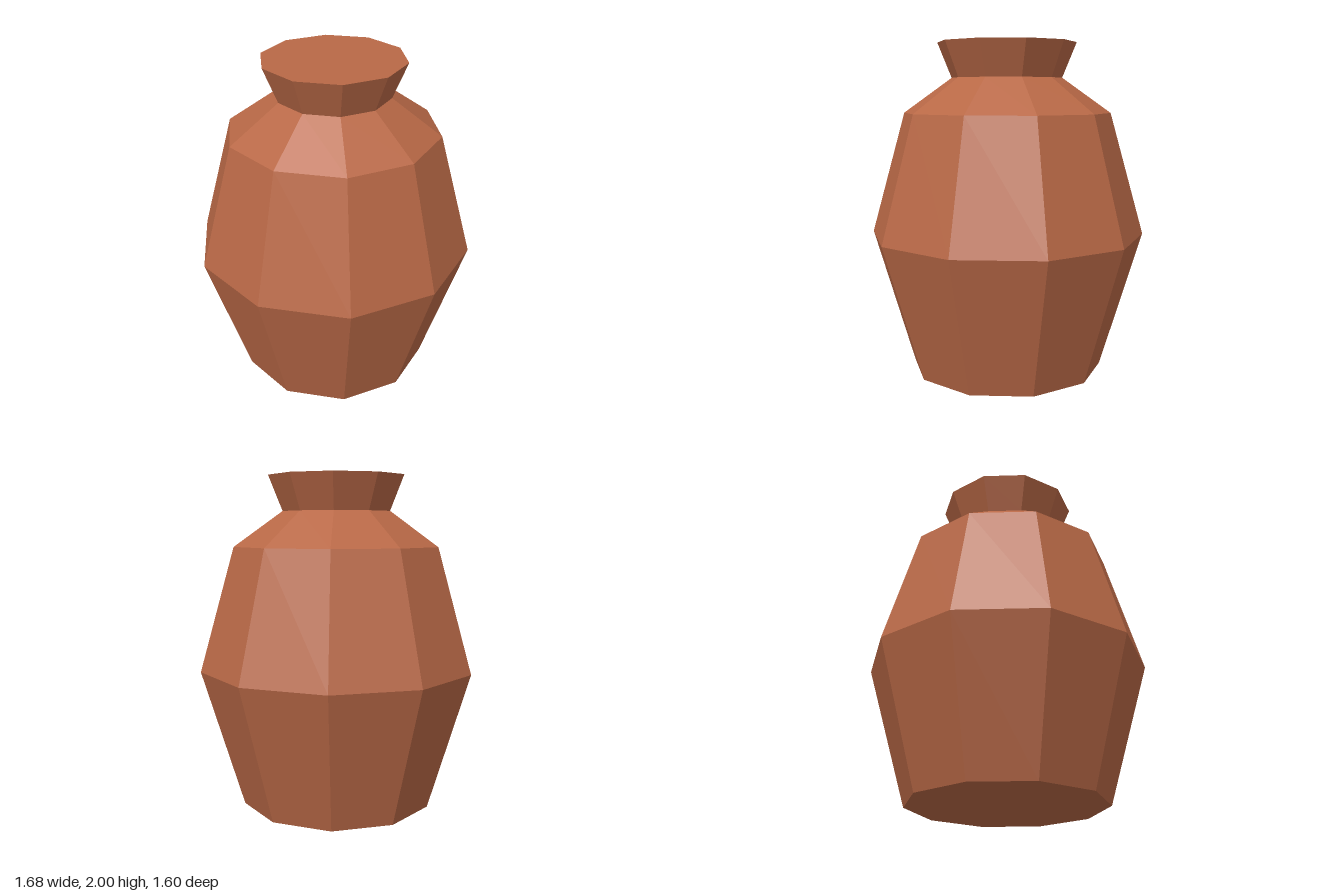
import * as THREE from 'three';

const SIDES = 10;

// Ten-sided turned shape with a corner on the +x axis; profile runs bottom to top
function turned(name, profile, material) {
  const points = profile.map(([r, y]) => new THREE.Vector2(r, y));
  const geometry = new THREE.LatheGeometry(points, SIDES, Math.PI / 2);
  const mesh = new THREE.Mesh(geometry.toNonIndexed(), material);
  mesh.geometry.computeVertexNormals();
  mesh.name = name;
  return mesh;
}

export function createModel() {
  const group = new THREE.Group();
  group.name = 'clayPot';

  const clay = new THREE.MeshStandardMaterial({ color: 0xb86846, flatShading: true });
  clay.name = 'terracotta clay';

  // Closed base, belly and sloping shoulder
  group.add(turned('potBody', [[0, 0], [0.59, 0], [0.84, 0.84], [0.63, 1.58], [0.335, 1.79]], clay));

  // Flared neck with a flat closed top
  group.add(turned('flaredNeck', [[0.335, 1.79], [0.42, 2], [0, 2]], clay));

  return group;
}
